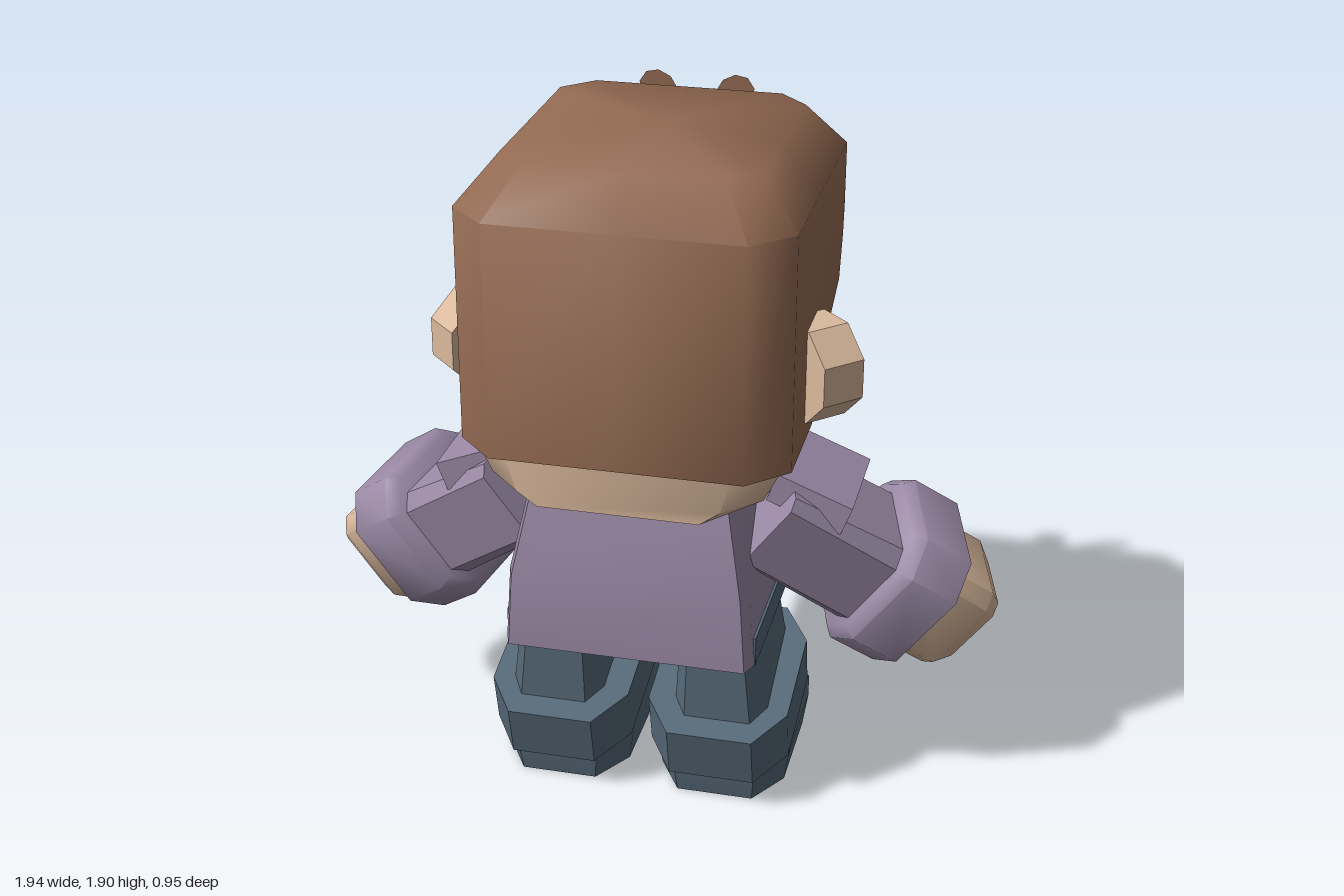
import * as THREE from 'three';
import { toCreasedNormals } from 'three/addons/utils/BufferGeometryUtils.js';

const mat = (name, color, side = THREE.FrontSide) => {
  const m = new THREE.MeshStandardMaterial({ color, side });
  m.name = name;
  return m;
};

// Skin a stack of closed loops (low to high); loops run from +x towards +z
function skin(loops, capBottom = true, crease = 0.9) {
  const pos = [];
  const tri = (...p) => p.forEach((v) => pos.push(...v));
  const centre = (l) => [0, 1, 2].map((k) => l.reduce((s, p) => s + p[k], 0) / l.length);
  const n = loops[0].length, last = loops[loops.length - 1];
  const cb = centre(loops[0]), ct = centre(last);
  for (let i = 0; i < n; i++) {
    const j = (i + 1) % n;
    for (let r = 0; r < loops.length - 1; r++) {
      const a = loops[r], b = loops[r + 1];
      tri(a[i], b[i], a[j]);
      tri(a[j], b[i], b[j]);
    }
    if (capBottom) tri(cb, loops[0][i], loops[0][j]);
    tri(ct, last[j], last[i]);
  }
  const g = new THREE.BufferGeometry();
  g.setAttribute('position', new THREE.Float32BufferAttribute(pos, 3));
  return toCreasedNormals(g, crease);
}

// Chamfered rectangle ring: fx, fz are the flat fractions of each half size
function ring(y, cx, cz, hx, hz, fx = 0.7, fz = 0.7) {
  return [[1, -fz], [1, fz], [fx, 1], [-fx, 1], [-1, fz], [-1, -fz], [-fx, -1], [fx, -1]]
    .map(([x, z]) => [cx + x * hx, y, cz + z * hz]);
}
const loft = (rings, crease) => skin(rings.map((r) => ring(...r)), true, crease);

function add(parent, name, geometry, material) {
  const m = new THREE.Mesh(geometry, material);
  m.name = name;
  parent.add(m);
  return m;
}

export function createModel() {
  const root = new THREE.Group();
  root.name = 'figure';
  const skinTone = mat('skin', 0xdab99d);
  const hair = mat('brown hair', 0x936a52);
  const hairFlat = mat('brown hair tuft', 0x936a52, THREE.DoubleSide);
  const shirt = mat('mauve shirt', 0x9988a4);
  const slate = mat('slate blue', 0x566978);

  // Head, with a rounded jaw
  add(root, 'head', loft([
    [0.97, 0, 0, 0.28, 0.45, 0.78, 0.78],
    [1.01, 0, 0, 0.37, 0.45, 0.74, 0.78],
    [1.11, 0, 0, 0.42, 0.45, 0.72, 0.78],
    [1.74, 0, 0, 0.42, 0.45, 0.72, 0.78],
  ]), skinTone);

  // Hair: perimeter x, z and lower edge height, from fringe centre to nape
  const half = [
    [0, -0.475, 1.6], [0.34, -0.475, 1.67], [0.445, -0.365, 1.58], [0.445, -0.355, 1.5],
    [0.445, -0.315, 1.38], [0.445, -0.16, 1.31], [0.445, 0, 1.31], [0.445, 0.07, 1.11],
    [0.445, 0.37, 1.11], [0.34, 0.475, 1.11], [0, 0.475, 1.11],
  ];
  const rim = [...half, ...half.slice(1, -1).reverse().map(([x, z, y]) => [-x, z, y])];
  add(root, 'hair', skin([
    rim.map(([x, z, y]) => [x * 0.9, y, z * 0.9]),
    rim.map(([x, z, y]) => [x, y, z]),
    rim.map(([x, z]) => [x, 1.76, z]),
    rim.map(([x, z]) => [x * 0.77, 1.885, z * 0.765]),
  ], false), hair);

  // Flat plates in the xy plane
  const plate = (pts) => new THREE.ShapeGeometry(new THREE.Shape(pts.map((p) => new THREE.Vector2(...p))));

  for (const s of [-1, 1]) {
    // Tuft lobe above the fringe
    const lobe = [[0.005, 1.74], [0.08, 1.76], [0.145, 1.81], [0.165, 1.86], [0.145, 1.89],
      [0.11, 1.897], [0.075, 1.88], [0.045, 1.83]];
    add(root, 'hairTuft', plate(lobe.map(([x, y]) => [s * x, y])), hairFlat).position.z = -0.465;

    // Eye
    const eye = new THREE.CircleGeometry(1, 10).scale(0.062, 0.078, 1).rotateY(Math.PI);
    const e = add(root, 'eye', eye, slate);
    e.position.set(s * 0.175, 1.36, -0.454);
    e.rotation.z = s * 0.25;

    // Ear: octagonal disc turned to the face side
    const ear = new THREE.CylinderGeometry(0.141, 0.141, 0.125, 8).rotateY(Math.PI / 8).rotateZ(-Math.PI / 2);
    const earMesh = add(root, 'ear', toCreasedNormals(ear, 0.5), skinTone);
    earMesh.position.set(s * 0.455, 1.3, 0.115);
    earMesh.rotation.y = s * Math.PI / 4 + (s < 0 ? Math.PI : 0);

    // Arm, swung down and towards the face side
    const arm = new THREE.Group();
    arm.name = 'arm';
    arm.position.set(s * 0.667, 0.625, -0.05);
    arm.rotation.set(0, s * 0.35, -s * 0.643, 'ZYX');
    root.add(arm);
    const along = (g) => g.rotateZ(-s * Math.PI / 2);
    add(arm, 'sleeve', along(loft([
      [-0.46, 0, 0, 0.13, 0.16, 0.8, 0.8],
      [0, 0, 0, 0.15, 0.17, 0.7, 0.7],
    ], 0.5)), shirt);
    add(arm, 'sleeveCuff', along(loft([
      [-0.1, 0, 0, 0.19, 0.19, 0.6, 0.6],
      [-0.07, 0, 0, 0.215, 0.215, 0.6, 0.6],
      [0.085, 0, 0, 0.215, 0.215, 0.6, 0.6],
    ])), shirt);
    add(arm, 'hand', along(loft([
      [0, 0, 0, 0.155, 0.15, 0.75, 0.75],
      [0.22, 0, 0, 0.155, 0.15, 0.75, 0.75],
      [0.275, 0, 0, 0.12, 0.115, 0.75, 0.75],
    ])), skinTone);

    // Shoulder pad
    const pad = add(root, 'shoulderPad', new THREE.BoxGeometry(0.22, 0.085, 0.31), shirt);
    pad.position.set(s * 0.466, 0.932, 0.045);
    pad.rotation.z = -s * 0.37;

    // Leg, tilted trouser cuff and boot
    add(root, 'leg', loft([
      [0.2, s * 0.24, 0.04, 0.14, 0.24],
      [0.52, s * 0.23, 0.075, 0.11, 0.205],
    ]), slate);
    const cuff = add(root, 'trouserCuff', loft([
      [-0.08, 0, 0, 0.2, 0.275, 0.6, 0.55],
      [0.08, 0, 0, 0.2, 0.275, 0.6, 0.55],
    ]), slate);
    cuff.position.set(s * 0.23, 0.235, 0.065);
    cuff.rotation.x = 0.24;
    add(root, 'boot', loft([
      [0, s * 0.23, -0.01, 0.18, 0.27, 0.6, 0.55],
      [0.1, s * 0.23, -0.005, 0.195, 0.285, 0.6, 0.55],
      [0.165, s * 0.23, -0.005, 0.195, 0.285, 0.6, 0.55],
      [0.23, s * 0.23, 0.04, 0.18, 0.23, 0.6, 0.55],
    ]), slate);
  }

  // Smiling mouth, turned to face -z
  const mouth = plate([[-0.11, 1.215], [-0.08, 1.225], [-0.06, 1.19], [0, 1.175], [0.06, 1.19], [0.08, 1.225],
    [0.11, 1.215], [0.1, 1.165], [0.05, 1.135], [-0.05, 1.135], [-0.1, 1.165]]).rotateY(Math.PI);
  add(root, 'mouth', mouth, slate).position.z = -0.454;

  // Shirt body and the trouser waist under it
  add(root, 'shirtBody', loft([
    [0.49, 0, 0.075, 0.35, 0.305, 0.95, 0.85],
    [0.71, 0, 0.075, 0.335, 0.305, 0.95, 0.85],
    [0.98, 0, 0.045, 0.28, 0.275, 0.95, 0.85],
  ], 0.4), shirt);
  const waist = add(root, 'waist', new THREE.BoxGeometry(0.704, 0.085, 0.53), slate);
  waist.position.set(0, 0.525, 0.055);

  return root;
}
